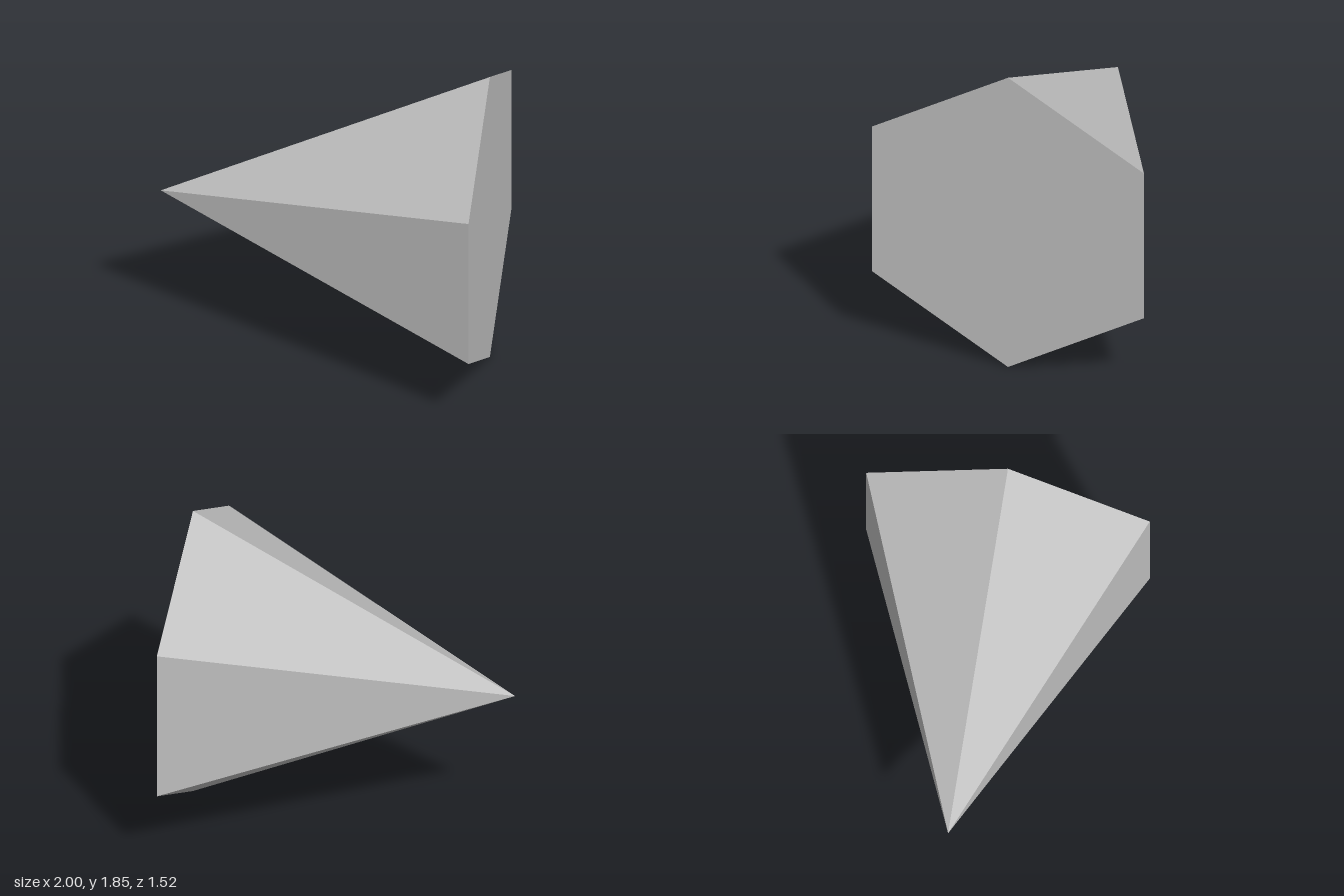
import * as THREE from 'three';

export function createModel() {
  const group = new THREE.Group();
  const grey = new THREE.MeshStandardMaterial({ color: 0xc0c0c0 });
  grey.name = 'grey';

  // Six-sided pyramid, as tall as its base is wide, with hard facets
  const radius = 0.9225;
  const height = radius * 2;
  const geometry = new THREE.ConeGeometry(radius, height, 6).toNonIndexed();
  geometry.computeVertexNormals();
  const pyramid = new THREE.Mesh(geometry, grey);
  pyramid.name = 'hexagonalPyramid';

  // Lay it on a base corner, tip pointing to -x and turned 18 degrees backwards
  const turn = THREE.MathUtils.degToRad(18);
  const axis = new THREE.Vector3(-Math.cos(turn), 0, -Math.sin(turn));
  const up = new THREE.Vector3(0, 1, 0);
  const side = new THREE.Vector3().crossVectors(axis, up);
  pyramid.quaternion.setFromRotationMatrix(new THREE.Matrix4().makeBasis(side, axis, up));
  pyramid.position.set(0.7535, radius, 0).addScaledVector(axis, height / 2);

  group.add(pyramid);
  return group;
}
